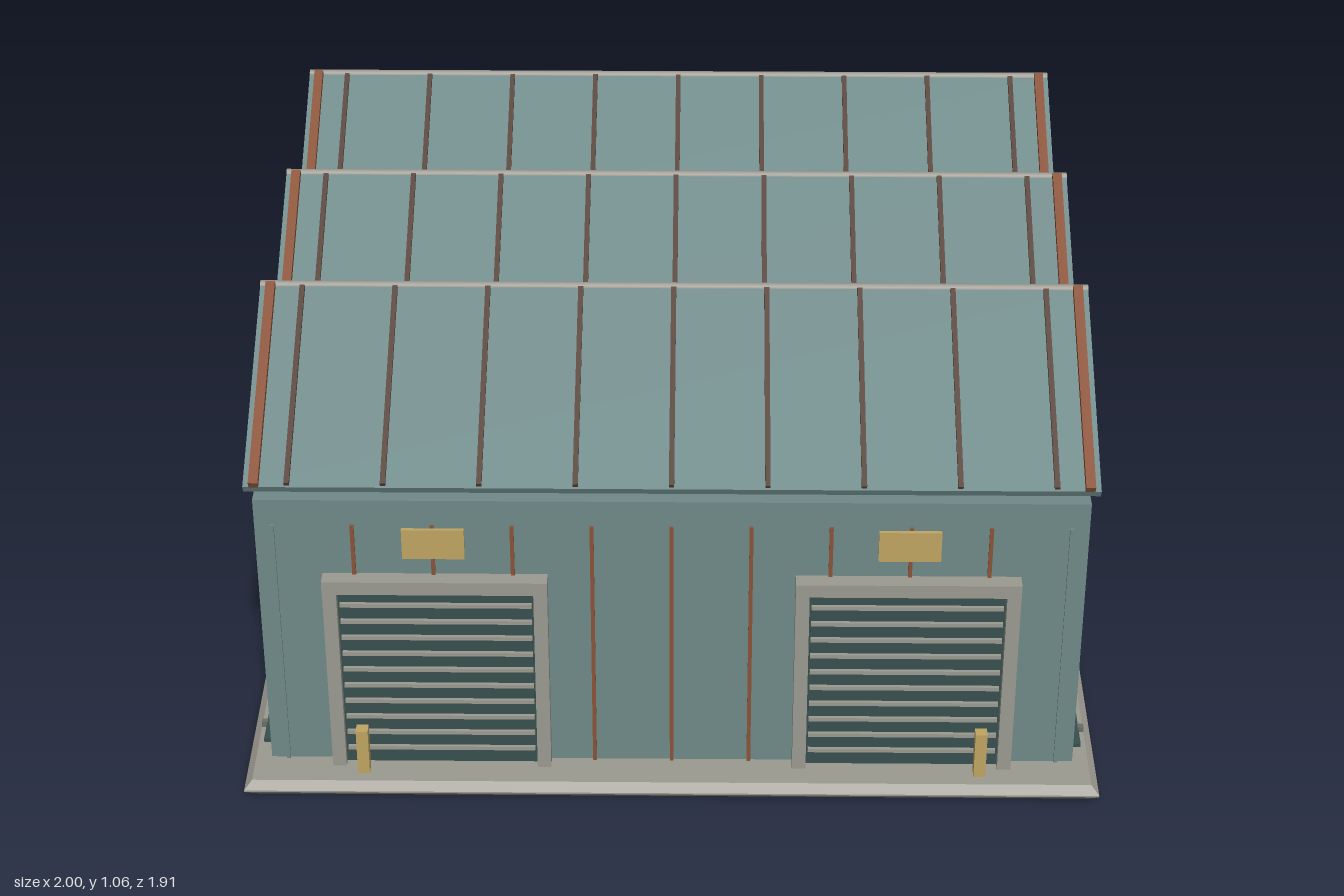
import * as THREE from 'three';

const mat = (name, color, extra = {}) => {
  const m = new THREE.MeshStandardMaterial({ color, ...extra });
  m.name = name;
  return m;
};

export function createModel() {
  const teal = mat('teal cladding', 0x6f8a89);
  const concrete = mat('concrete', 0x9c9a91);
  const steel = mat('grey steel', 0x6b6d69);
  const shutter = mat('dark shutter', 0x38504f);
  const rust = mat('rust', 0x8a5238);
  const rib = mat('dark brown rib', 0x57433a);
  const ochre = mat('ochre', 0xbfa562);

  const root = new THREE.Group();
  root.name = 'sawtoothWarehouse';

  const add = (parent, name, geo, m, x, y, z) => {
    const mesh = new THREE.Mesh(geo, m);
    mesh.name = name;
    mesh.position.set(x, y, z);
    parent.add(mesh);
    return mesh;
  };
  const box = (parent, name, m, w, h, d, x, y, z) =>
    add(parent, name, new THREE.BoxGeometry(w, h, d), m, x, y, z);
  const rod = (parent, name, m, r, len, x, y, z, alongX = false) => {
    const geo = new THREE.CylinderGeometry(r, r, len, 10);
    if (alongX) geo.rotateZ(Math.PI / 2);
    return add(parent, name, geo, m, x, y, z);
  };

  // Foundation slab with chamfered edges
  const c = 0.018, hx = 1 - c, hz = 0.953 - c;
  const outline = new THREE.Shape([
    new THREE.Vector2(-hx, -hz), new THREE.Vector2(hx, -hz),
    new THREE.Vector2(hx, hz), new THREE.Vector2(-hx, hz),
  ]);
  const slab = new THREE.ExtrudeGeometry(outline, {
    depth: 0.004, bevelEnabled: true, bevelThickness: c, bevelSize: c, bevelSegments: 1,
  });
  slab.rotateX(-Math.PI / 2);
  add(root, 'foundation', slab, concrete, 0, c, 0);

  // Main hall
  box(root, 'hall', teal, 1.89, 0.727, 1.69, 0, 0.4015, 0);

  // Wall seams on the front
  for (let i = -5; i <= 5; i++) {
    box(root, 'wallSeam', Math.abs(i) === 5 ? teal : rust, 0.009, 0.66, 0.008, i * 0.181, 0.37, 0.847);
  }

  // Low rails along the side walls, with studs
  for (const s of [-1, 1]) {
    box(root, 'sideRail', shutter, 0.026, 0.01, 1.58, s * 0.957, 0.045, 0);
    for (let i = -4; i <= 4; i++) {
      box(root, 'railStud', steel, 0.014, 0.014, 0.014, s * 0.975, 0.047, i * 0.181);
    }
  }

  // Loading doors, signs and bollards
  for (const s of [-1, 1]) {
    const door = new THREE.Group();
    door.name = 'loadingDoor';
    door.position.x = s * 0.54;
    root.add(door);
    box(door, 'shutterPanel', shutter, 0.46, 0.5, 0.016, 0, 0.29, 0.85);
    for (let i = 0; i < 11; i++) {
      box(door, 'shutterSlat', concrete, 0.44, 0.01, 0.01, 0, 0.083 + i * 0.0452 - 0.0452 * (i === 10 ? 0.05 : 0), 0.861);
      box(door, 'shutterGroove', shutter, 0.44, 0.028, 0.006, 0, 0.062 + i * 0.0452, 0.859);
    }
    for (const e of [-1, 1]) {
      box(door, 'doorJamb', concrete, 0.032, 0.5, 0.036, e * 0.241, 0.29, 0.861);
    }
    box(door, 'doorLintel', concrete, 0.514, 0.034, 0.04, 0, 0.55, 0.864);
    box(door, 'doorSign', ochre, 0.142, 0.078, 0.009, 0, 0.66, 0.862);
    box(root, 'bollard', ochre, 0.028, 0.122, 0.028, s * 0.722, 0.1, 0.893);
  }

  // Three sawtooth roof bays
  const angle = Math.atan2(0.245, 0.487);
  const length = Math.hypot(0.245, 0.487);
  for (const ridgeZ of [0.352, -0.208, -0.768]) {
    const bay = new THREE.Group();
    bay.name = 'roofBay';
    bay.position.z = ridgeZ;
    root.add(bay);

    // Sloping side with ribs and end trims
    const slope = new THREE.Group();
    slope.name = 'roofSlope';
    slope.position.set(0, 0.912, 0.2435);
    slope.rotation.x = angle;
    bay.add(slope);
    box(slope, 'roofPanel', teal, 1.93, 0.02, length, 0, 0, 0);
    for (let i = -4; i <= 4; i++) {
      box(slope, 'roofRib', rib, 0.012, 0.012, length - 0.01, i * 0.2165, 0.014, 0);
    }
    for (const s of [-1, 1]) {
      box(slope, 'roofEdgeTrim', rust, 0.022, 0.018, length, s * 0.94, 0.018, 0);
    }
    rod(bay, 'ridgeCap', concrete, 0.011, 1.93, 0, 1.04, -0.003, true);

    // Steep side
    const steep = box(bay, 'steepPanel', teal, 1.93, 0.25, 0.012, 0, 0.907, -0.031);
    steep.rotation.x = Math.atan2(0.066, 0.245);

    // Upright posts under the ridge
    for (let i = -4; i <= 4; i++) {
      box(bay, 'ridgePost', steel, 0.014, 0.225, 0.014, i * 0.2165, 0.913, 0.006);
    }
  }

  // Downpipes on the back wall
  for (const s of [-1, 1]) {
    rod(root, 'downpipe', rust, 0.014, 0.73, s * 0.867, 0.43, -0.866);
  }

  // Roof ladder on the back wall
  const ladder = new THREE.Group();
  ladder.name = 'ladder';
  ladder.position.set(0.81, 0, -0.877);
  root.add(ladder);
  for (const s of [-1, 1]) {
    rod(ladder, 'ladderRail', steel, 0.008, 0.9, s * 0.055, 0.51, 0);
  }
  for (let i = 0; i < 14; i++) {
    rod(ladder, 'ladderRung', steel, 0.005, 0.11, 0, 0.1 + i * 0.063, 0, true);
  }

  return root;
}
